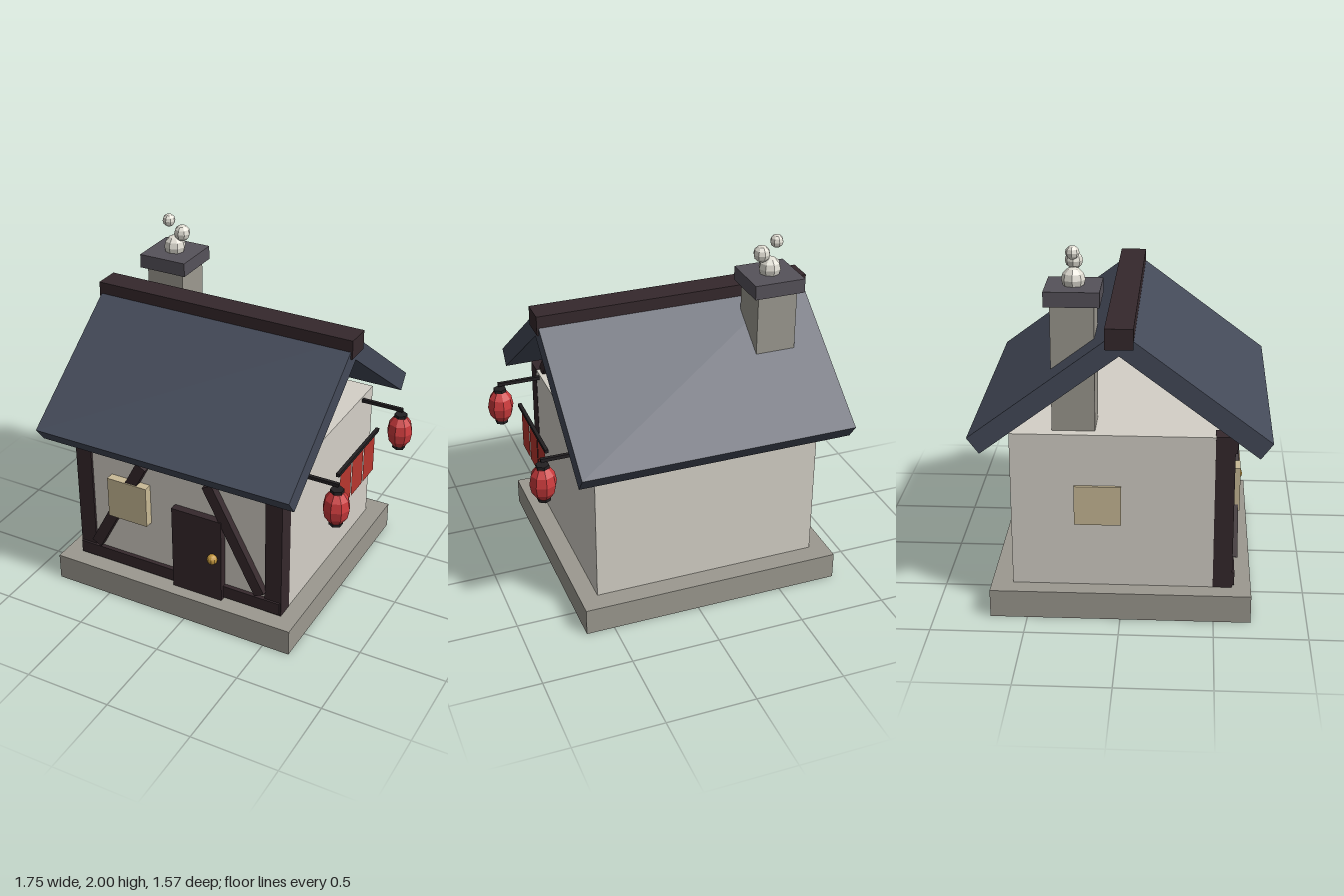
import * as THREE from 'three';

const mat = (color, extra = {}) => new THREE.MeshStandardMaterial({ color, flatShading: true, ...extra });
const M = {
  stone: mat(0x9c9990), wall: mat(0xd4d0c7), timber: mat(0x35282c), roof: mat(0x444a59),
  cap: mat(0x56525a), red: mat(0xcc3b3d), cloth: mat(0xb8372e, { side: THREE.DoubleSide }),
  panel: mat(0xc9ba96), brass: mat(0xc0943c), smoke: mat(0xe0ddd3), iron: mat(0x232022),
};

export function createModel() {
  const group = new THREE.Group();
  const CX = -0.09; // middle of the house

  const add = (name, geo, material, x, y, z, parent = group) => {
    const mesh = new THREE.Mesh(geo, material);
    mesh.name = name;
    mesh.position.set(x, y, z);
    parent.add(mesh);
    return mesh;
  };
  // box given by its extents on each axis
  const box = (name, material, [x0, x1], [y0, y1], [z0, z1]) =>
    add(name, new THREE.BoxGeometry(x1 - x0, y1 - y0, z1 - z0), material,
      (x0 + x1) / 2, (y0 + y1) / 2, (z0 + z1) / 2);

  // plinth and walls
  box('plinth', M.stone, [-0.84, 0.66], [0, 0.155], [-0.7, 0.7]);
  box('walls', M.wall, [-0.738, 0.558], [0.155, 1.025], [-0.585, 0.585]);

  // timber frame on the front
  for (const s of [-1, 1]) {
    const x = CX + s * 0.6;
    box('cornerPost', M.timber, [x - 0.05, x + 0.05], [0.155, 1.028], [0.495, 0.598]);
    const brace = add('frontBrace', new THREE.BoxGeometry(0.065, 0.69, 0.05), M.timber,
      CX + s * 0.368, 0.58, 0.602);
    brace.rotation.z = s * 0.485;
  }
  box('sillBeam', M.timber, [-0.735, 0.555], [0.167, 0.242], [0.55, 0.61]);
  box('topBeam', M.timber, [-0.735, 0.555], [0.935, 1.027], [0.55, 0.61]);

  // door with knob
  box('door', M.timber, [-0.105, 0.205], [0.155, 0.68], [0.57, 0.63]);
  add('doorKnob', new THREE.SphereGeometry(0.031, 10, 8), M.brass, 0.155, 0.43, 0.64);

  // paper windows on the front and left-hand end
  box('frontWindow', M.panel, [-0.515, -0.265], [0.505, 0.755], [0.58, 0.635]);
  box('sideWindow', M.panel, [-0.755, -0.73], [0.517, 0.738], [-0.248, 0.002]);

  // gable strut under the front slope
  const strut = add('gableStrut', new THREE.BoxGeometry(0.06, 0.51, 0.06), M.timber, 0.51, 1.22, 0.3);
  strut.rotation.x = -0.72;

  // roof: two slopes sharing one cross-section, mirrored over the ridge
  for (const s of [-1, 1]) {
    const slope = new THREE.Shape();
    const pts = [[0, 1.637], [0.785, 1.048], [0.721, 0.963], [0, 1.504]];
    slope.setFromPoints(pts.map(([z, y]) => new THREE.Vector2(-s * z, y)));
    const geo = new THREE.ExtrudeGeometry(slope, { depth: 1.55, bevelEnabled: false });
    geo.rotateY(Math.PI / 2);
    add('roofSlope', geo, M.roof, -0.865, 0, 0);
  }
  box('ridgeBeam', M.timber, [-0.877, 0.695], [1.54, 1.65], [-0.073, 0.073]);

  // chimney and smoke
  box('chimney', M.stone, [-0.68, -0.453], [1.02, 1.71], [-0.364, -0.137]);
  box('chimneyCap', M.cap, [-0.71, -0.422], [1.705, 1.785], [-0.394, -0.106]);
  for (const [x, y, r] of [[-0.565, 1.815, 0.063], [-0.515, 1.902, 0.047], [-0.6, 1.963, 0.037]])
    add('smokePuff', new THREE.SphereGeometry(r, 8, 6), M.smoke, x, y, -0.25);

  // hanging lanterns on arms
  for (const s of [-1, 1]) {
    const lantern = new THREE.Group();
    lantern.name = 'lantern';
    lantern.position.set(0.797, 0.865, s * 0.44);
    group.add(lantern);
    const body = add('lanternBody', new THREE.SphereGeometry(0.076, 8, 6), M.red, 0, 0, 0, lantern);
    body.scale.y = 1.4;
    for (const y of [-0.1, 0.1])
      add('lanternRim', new THREE.CylinderGeometry(0.038, 0.038, 0.022, 6), M.iron, 0, y, 0, lantern);
    add('lanternArm', new THREE.BoxGeometry(0.26, 0.02, 0.02), M.iron, -0.12, 0.138, 0, lantern);
  }

  // curtain rod with three cloth panels
  box('curtainRod', M.iron, [0.715, 0.735], [0.932, 0.952], [-0.273, 0.273]);
  for (const i of [-1, 0, 1]) {
    const cloth = add('curtain', new THREE.PlaneGeometry(0.15, 0.245), M.cloth, 0.725, 0.817, i * 0.16);
    cloth.rotation.y = Math.PI / 2;
  }
  return group;
}
